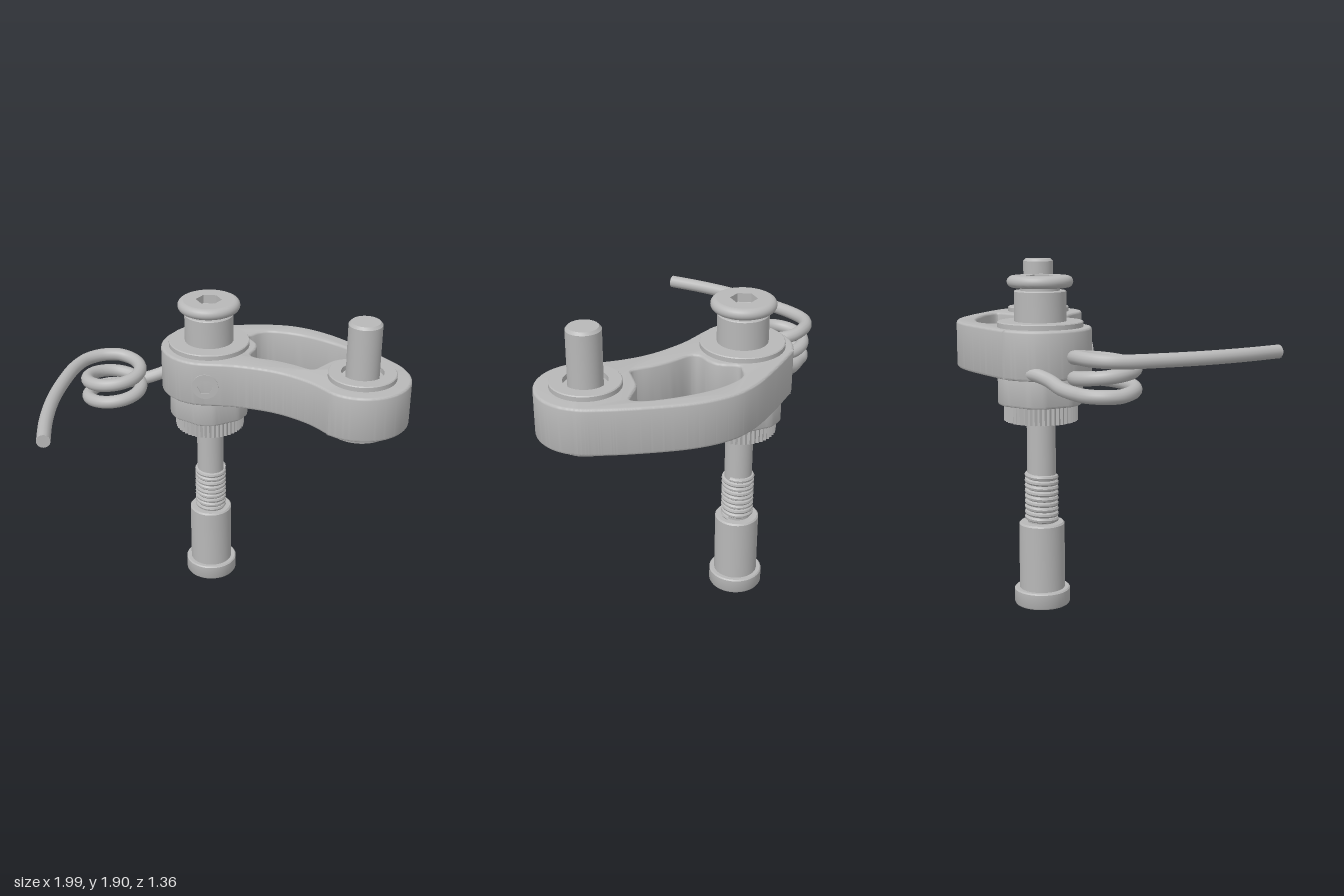
import * as THREE from 'three';
import { toCreasedNormals } from 'three/addons/utils/BufferGeometryUtils.js';

const steel = new THREE.MeshStandardMaterial({ color: 0xb8b8b8, side: THREE.DoubleSide });
steel.name = 'steel grey';

const POST = { x: -0.15, z: -0.36 };
const PIN = { x: 0.725, z: 0.02 };
const rad = THREE.MathUtils.degToRad;
const vecs = (list) => list.map(([x, y]) => new THREE.Vector2(x, y));

function part(name, geometry, at = { x: 0, z: 0 }, y = 0) {
  const mesh = new THREE.Mesh(toCreasedNormals(geometry, 0.55), steel);
  mesh.name = name;
  mesh.position.set(at.x, y, at.z);
  return mesh;
}

// Turned part from [radius, y] pairs
const turned = (name, at, profile) => part(name, new THREE.LatheGeometry(vecs(profile), 48), at);

// Plan-view shape (x, -z) raised from y0 by a height
function raised(name, shape, at, y0, height, bevel) {
  const g = new THREE.ExtrudeGeometry(shape, {
    depth: height - 2 * bevel, curveSegments: 32, bevelEnabled: bevel > 0,
    bevelSize: bevel, bevelThickness: bevel, bevelOffset: -bevel, bevelSegments: 3,
  });
  g.rotateX(-Math.PI / 2);
  return part(name, g, at, y0 + bevel);
}

// Disc facing +y with a sunken hexagonal key socket
function hexSocket(name, outer, hex, depth) {
  const group = new THREE.Group();
  group.name = name;
  const face = new THREE.Shape().absarc(0, 0, outer, 0, Math.PI * 2);
  const hole = [];
  for (let i = 0; i < 6; i++) {
    hole.push(new THREE.Vector2(hex * Math.cos(i * Math.PI / 3), hex * Math.sin(i * Math.PI / 3)));
  }
  face.holes.push(new THREE.Path(hole));
  const walls = new THREE.CylinderGeometry(hex, hex, depth, 6, 1, true);
  walls.rotateY(Math.PI / 6).translate(0, -depth / 2, 0);
  const tip = new THREE.ConeGeometry(hex, hex * 0.4, 6, 1, true);
  tip.rotateX(Math.PI).rotateY(Math.PI / 6).translate(0, -depth - hex * 0.2, 0);
  group.add(
    part('socketFace', new THREE.ShapeGeometry(face, 24).rotateX(-Math.PI / 2)),
    part('socketWalls', walls),
    part('socketFloor', tip),
  );
  return group;
}

// Curved lever arm with a window
function makeArm() {
  const s = new THREE.Shape();
  s.moveTo(-0.15, 0.08);
  s.splineThru(vecs([[0.03, 0.07], [0.25, 0.01], [0.43, -0.1], [0.548, -0.224]]));
  s.absarc(PIN.x, -PIN.z, 0.27, rad(229), rad(385), false);
  s.splineThru(vecs([[0.93, 0.165], [0.78, 0.34], [0.57, 0.54], [0.38, 0.65],
    [0.2, 0.68], [-0.02, 0.66], [-0.246, 0.623]]));
  s.absarc(POST.x, -POST.z, 0.28, rad(110), rad(270), false);
  const rim = new THREE.CatmullRomCurve3([
    [0.1, 0.52], [0.15, 0.56], [0.22, 0.57], [0.38, 0.53], [0.57, 0.42], [0.69, 0.315],
    [0.715, 0.26], [0.67, 0.235], [0.57, 0.19], [0.5, 0.11], [0.455, 0.065], [0.35, 0.12],
    [0.25, 0.165], [0.12, 0.205], [0.098, 0.24], [0.125, 0.33], [0.125, 0.39], [0.075, 0.49],
  ].map(([x, y]) => new THREE.Vector3(x, y, 0)), true);
  s.holes.push(new THREE.Path(rim.getPoints(90).slice(0, 90).map((p) => new THREE.Vector2(p.x, p.y))));
  return raised('leverArm', s, undefined, 1.31, 0.265, 0.014);
}

// Closed outline from a radius rule, with an optional round bore
function polar(count, radius, bore) {
  const pts = [];
  for (let i = 0; i < count; i++) {
    const a = (i / count) * Math.PI * 2, r = radius(a, i);
    pts.push(new THREE.Vector2(r * Math.cos(a), r * Math.sin(a)));
  }
  const s = new THREE.Shape(pts);
  if (bore) s.holes.push(new THREE.Path().absarc(0, 0, bore, 0, Math.PI * 2));
  return s;
}

// Coil spring with a long tail and a lead into the arm
function makeSpring() {
  const path = [[-0.91, 1.465, 0.67], [-0.945, 1.465, 0.45], [-0.96, 1.465, 0.2],
    [-0.945, 1.465, -0.05], [-0.915, 1.465, -0.23], [-0.87, 1.467, -0.33], [-0.79, 1.47, -0.39]];
  for (let i = 0; i <= 32; i++) {
    const turn = i / 16, a = turn * Math.PI * 2;
    path.push([-0.7 + 0.155 * Math.sin(a), Math.max(1.283, 1.47 - 0.107 * turn), -0.25 - 0.155 * Math.cos(a)]);
  }
  path.push([-0.58, 1.295, -0.435], [-0.47, 1.325, -0.455], [-0.39, 1.345, -0.49], [-0.28, 1.35, -0.54]);
  const curve = new THREE.CatmullRomCurve3(path.map((p) => new THREE.Vector3(...p)));
  const g = new THREE.Group();
  g.name = 'spring';
  g.add(part('springWire', new THREE.TubeGeometry(curve, 260, 0.037, 14)));
  const end = new THREE.CircleGeometry(0.037, 14);
  end.lookAt(new THREE.Vector3(0.035, 0, 0.22)).translate(...path[0]);
  g.add(part('wireEnd', end));
  // Inner end showing in the window
  const stub = new THREE.CylinderGeometry(0.026, 0.026, 0.13, 14);
  stub.rotateZ(Math.PI / 2).rotateY(-0.33).translate(0.13, 1.38, -0.413);
  g.add(part('springInnerEnd', stub));
  return g;
}

export function createModel() {
  const model = new THREE.Group();
  model.name = 'leverAssembly';
  model.add(makeArm(), makeSpring());

  // Pivot post above the arm
  model.add(turned('postWasher', POST, [[0, 1.57], [0.235, 1.57], [0.235, 1.6], [0.23, 1.605], [0, 1.605]]));
  model.add(turned('postNeck', POST, [[0.142, 1.6], [0.142, 1.765], [0.137, 1.77], [0.108, 1.77], [0.108, 1.8]]));
  const head = [[0.1, 1.786], [0.15, 1.786]];
  for (let i = 1; i <= 10; i++) {
    const a = -Math.PI / 2 + (i / 10) * Math.PI;
    head.push([0.148 + 0.032 * Math.cos(a), 1.818 + 0.032 * Math.sin(a)]);
  }
  model.add(turned('postHead', POST, head));
  const headSocket = hexSocket('headSocket', 0.148, 0.075, 0.05);
  headSocket.position.set(POST.x, 1.85, POST.z);
  model.add(headSocket);

  // Clamp nut: hexagon with its corners turned round, then a toothed ring
  const collar = polar(96, (a) => {
    const k = ((a + Math.PI / 6) % (Math.PI / 3)) - Math.PI / 6;
    return Math.min(0.24, 0.228 / Math.cos(k));
  }, 0.13);
  model.add(raised('hexCollar', collar, POST, 1.155, 0.16, 0.012));
  model.add(raised('toothedRing', polar(96, (a, i) => (i % 2 ? 0.205 : 0.196), 0.125), POST, 1.06, 0.097, 0));

  // Rod, thread and barrel nut
  model.add(turned('rod', POST, [[0.08, 0.46], [0.08, 1.32]]));
  const turns = 9, helix = [];
  for (let i = 0; i <= turns * 16; i++) {
    const a = (i / 16) * Math.PI * 2;
    helix.push(new THREE.Vector3(0.08 * Math.cos(a), 0.482 + 0.272 * i / (turns * 16), 0.08 * Math.sin(a)));
  }
  model.add(part('thread', new THREE.TubeGeometry(new THREE.CatmullRomCurve3(helix), 300, 0.0155, 8), POST));
  model.add(turned('barrelNut', POST, [[0.14, 0], [0.152, 0.003], [0.157, 0.012], [0.157, 0.088], [0.15, 0.095],
    [0.128, 0.095], [0.128, 0.468], [0.12, 0.477], [0, 0.477]]));
  const baseSocket = hexSocket('baseSocket', 0.14, 0.085, 0.07);
  baseSocket.position.set(POST.x, 0, POST.z);
  baseSocket.rotation.x = Math.PI;
  model.add(baseSocket);

  // Cross pin with its washer and button head
  model.add(turned('pinWasher', PIN, [[0.118, 1.57], [0.19, 1.57], [0.19, 1.6], [0.185, 1.605], [0.118, 1.605], [0.118, 1.57]]));
  model.add(turned('pin', PIN, [[0.093, 1.3], [0.093, 1.885], [0.08, 1.9], [0, 1.9]]));
  model.add(turned('pinButtonHead', PIN, [[0.095, 1.217], [0.14, 1.234], [0.173, 1.252], [0.176, 1.258],
    [0.176, 1.293], [0.19, 1.293], [0.19, 1.315]]));
  const pinSocket = hexSocket('pinSocket', 0.095, 0.055, 0.05);
  pinSocket.position.set(PIN.x, 1.217, PIN.z);
  pinSocket.rotation.x = Math.PI;
  model.add(pinSocket);

  // Set screw in the front of the arm
  const screw = hexSocket('setScrew', 0.075, 0.046, 0.05);
  const body = new THREE.CylinderGeometry(0.075, 0.075, 0.06, 32, 1, true);
  screw.add(part('screwBody', body.translate(0, -0.03, 0)));
  screw.position.set(POST.x, 1.435, -0.074);
  screw.rotation.x = Math.PI / 2;
  model.add(screw);
  return model;
}
